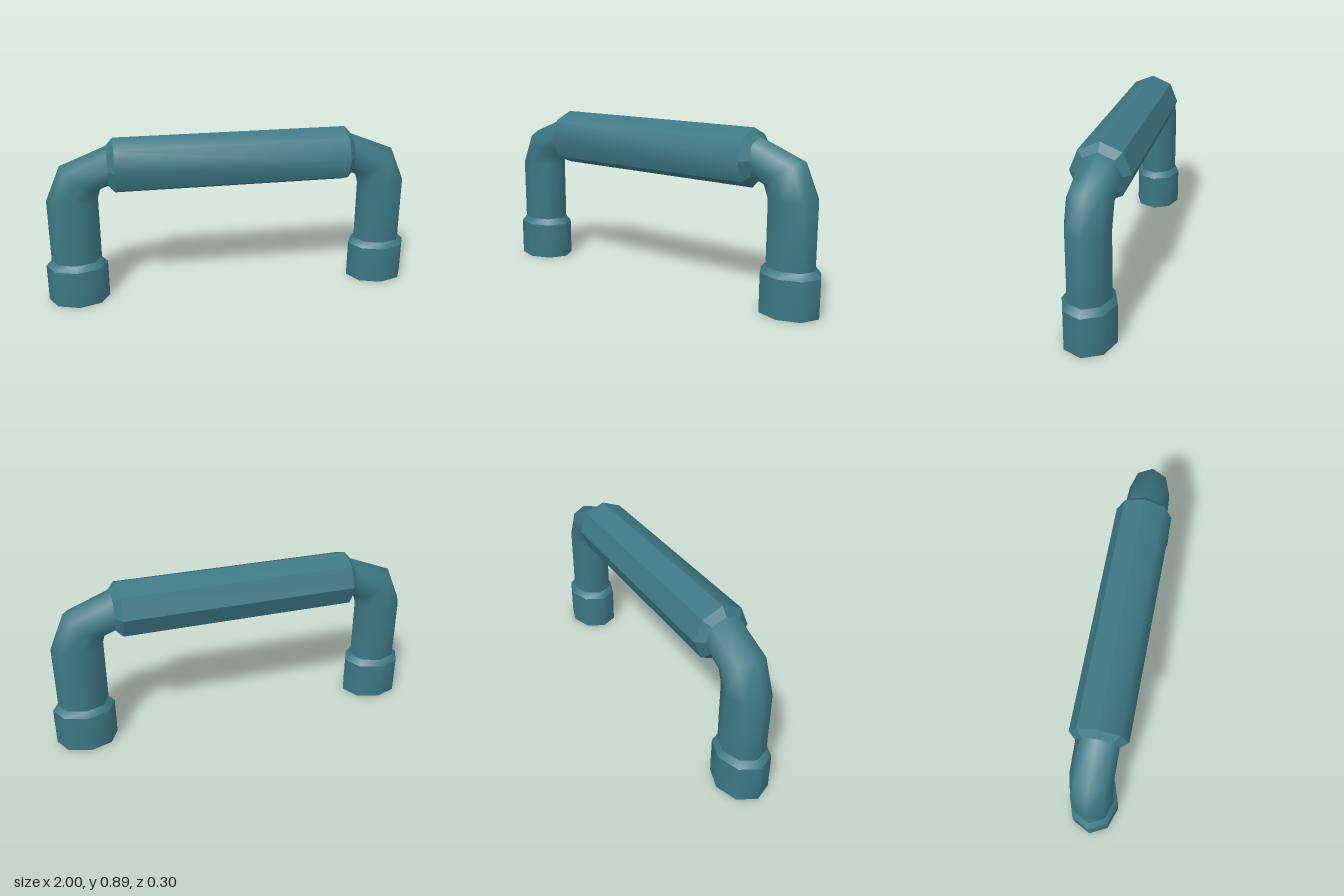
import * as THREE from 'three';

const SIDES = 8;

// Skin through rings [cx, cy, ux, uy, halfZ]; covers sides from..to (all by default)
function loft(rings, from = 0, to = SIDES) {
  const pos = [], index = [];
  const closed = to - from === SIDES;
  const n = closed ? SIDES : to - from + 1;
  for (const [cx, cy, ux, uy, hz] of rings) {
    for (let j = 0; j < n; j++) {
      const a = ((from + j) / SIDES) * Math.PI * 2;
      pos.push(cx + ux * Math.cos(a), cy + uy * Math.cos(a), hz * Math.sin(a));
    }
  }
  for (let i = 0; i < rings.length - 1; i++) {
    for (let j = 0; j < to - from; j++) {
      const k = (j + 1) % n;
      const a = i * n + j, b = i * n + k, c = a + n, d = b + n;
      index.push(a, c, b, b, c, d);
    }
  }
  const g = new THREE.BufferGeometry();
  g.setAttribute('position', new THREE.Float32BufferAttribute(pos, 3));
  g.setIndex(index);
  g.computeVertexNormals();
  return g;
}

export function createModel() {
  const model = new THREE.Group();
  model.name = 'pullHandle';
  const teal = new THREE.MeshStandardMaterial({ color: 0x3d7884, side: THREE.DoubleSide });
  teal.name = 'teal';

  const add = (parent, name, geometry) => {
    const mesh = new THREE.Mesh(geometry, teal);
    mesh.name = name;
    parent.add(mesh);
  };

  // Legs: open collar, short shoulder, and a pipe bending into the grip
  const X = 0.838;
  for (const side of ['left', 'right']) {
    const leg = new THREE.Group();
    leg.name = side + 'Leg';
    add(leg, 'collar', loft([[X, 0, 0.162, 0, 0.132], [X, 0.2, 0.162, 0, 0.132]]));
    add(leg, 'shoulder', loft([[X, 0.2, 0.162, 0, 0.132], [X, 0.232, 0.132, 0, 0.109]]));
    add(leg, 'pipe', loft([
      [X, 0.232, 0.132, 0, 0.109],
      [X, 0.565, 0.132, 0, 0.109],
      [0.791, 0.681, 0.099, 0.069, 0.109],
      [0.648, 0.738, 0, 0.108, 0.108],
    ]));
    if (side === 'right') leg.rotation.y = Math.PI;
    model.add(leg);
  }

  // Grip: octagonal bar, rounded across the front and faceted elsewhere
  const grip = new THREE.Group();
  grip.name = 'grip';
  const Y = 0.738, R = 0.148, E = 0.108, L = 0.615, END = 0.65;
  const ring = (x, r) => [x, Y, 0, r, r];
  const strips = [[0, 3], [3, 4], [4, 5], [5, 6], [6, 7], [7, 8]];
  for (const [from, to] of strips) {
    add(grip, 'gripFace', loft([ring(L, R), ring(-L, R)], from, to));
  }
  // Bevelled ends of the grip
  for (let j = 0; j < SIDES; j++) {
    add(grip, 'gripBevel', loft([ring(END, E), ring(L, R)], j, j + 1));
    add(grip, 'gripBevel', loft([ring(-L, R), ring(-END, E)], j, j + 1));
  }
  model.add(grip);

  return model;
}
